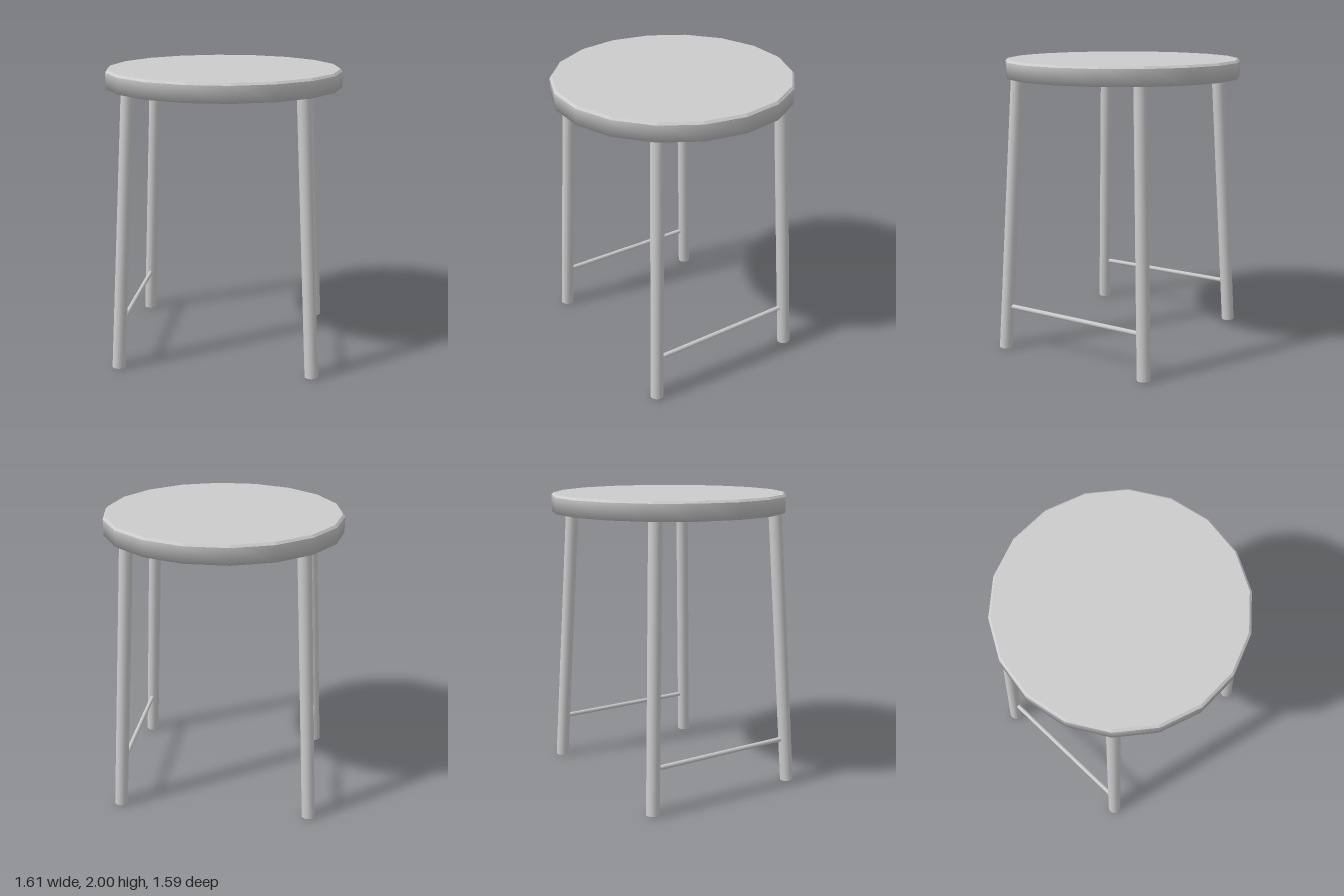
import * as THREE from 'three';

const material = new THREE.MeshStandardMaterial({ color: 0xcccccc });
const flatMaterial = new THREE.MeshStandardMaterial({ color: 0xcccccc, flatShading: true });

// Surface of revolution with a corner on the x axis
function turned(name, profile, mat) {
  const points = profile.map(([r, y]) => new THREE.Vector2(r, y));
  const mesh = new THREE.Mesh(new THREE.LatheGeometry(points, 18, Math.PI / 2), mat);
  mesh.name = name;
  return mesh;
}

// Round bar between two points
function bar(name, from, to, radius, sides) {
  const dir = to.clone().sub(from);
  const mesh = new THREE.Mesh(new THREE.CylinderGeometry(radius, radius, dir.length(), sides), material);
  mesh.position.copy(from).add(to).multiplyScalar(0.5);
  mesh.quaternion.setFromUnitVectors(new THREE.Vector3(0, 1, 0), dir.normalize());
  mesh.name = name;
  return mesh;
}

export function createModel() {
  const model = new THREE.Group();
  model.name = 'stool';

  // Seat: shallow convex underside running softly into the rim, bevelled flat top
  const seat = new THREE.Group();
  seat.name = 'seat';
  seat.add(
    turned('seatBody', [[0, 1.864], [0.805, 1.877], [0.805, 1.985]], material),
    turned('seatTop', [[0.805, 1.985], [0.79, 2], [0, 2]], flatMaterial),
  );
  model.add(seat);

  // Splayed legs, with a thin side stretcher joining front and back
  for (const [side, sx] of [['left', 1], ['right', -1]]) {
    const joints = [];
    for (const [end, sz] of [['Front', 1], ['Back', -1]]) {
      const foot = new THREE.Vector3(sx * 0.66, 0.005, sz * 0.555 + 0.008);
      const top = new THREE.Vector3(sx * 0.562, 1.89, sz * 0.468 + 0.008);
      model.add(bar(`${side}${end}Leg`, foot, top, 0.045, 16));
      joints.push(foot.clone().lerp(top, 0.16));
    }
    model.add(bar(`${side}Stretcher`, joints[0], joints[1], 0.016, 12));
  }
  return model;
}
